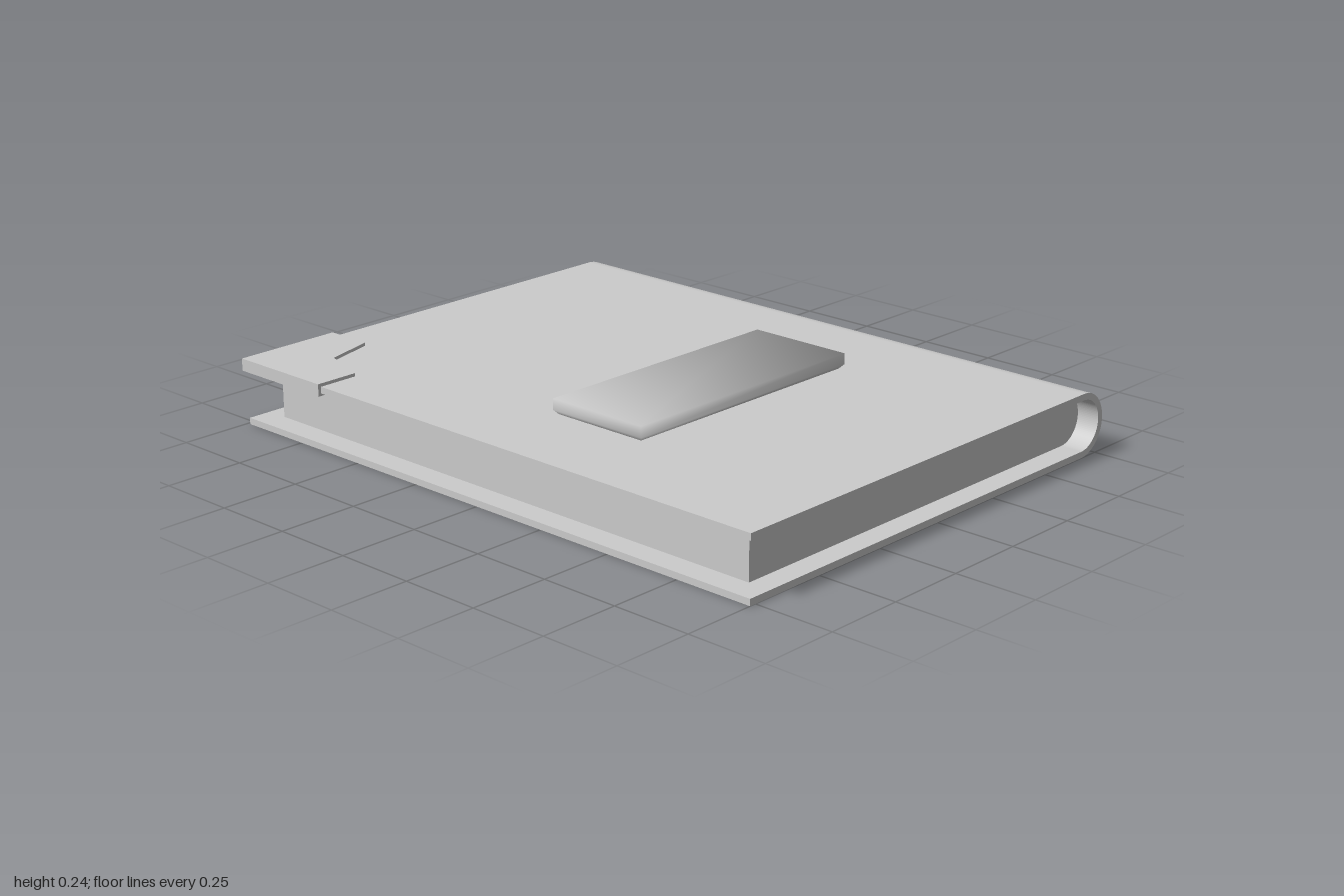
import * as THREE from 'three';
import { mergeVertices } from 'three/addons/utils/BufferGeometryUtils.js';

const material = new THREE.MeshStandardMaterial({ color: 0xcccccc });
const MID = 0.0985;    // half the closed height
const SPINE_X = 0.68;  // centre of the rounded spine

function part(name, geometry) {
  const mesh = new THREE.Mesh(geometry, material);
  mesh.name = name;
  return mesh;
}

// Extrude an x-y outline along z from z0 to z1
function prism(shape, z0, z1) {
  const g = new THREE.ExtrudeGeometry(shape, { depth: z1 - z0, bevelEnabled: false, curveSegments: 24 });
  return g.translate(0, 0, z0);
}

// Boards and spine: one U-shaped section
function coverShape(thickness) {
  const s = new THREE.Shape();
  s.moveTo(-0.77, 0);
  s.lineTo(SPINE_X, 0);
  s.absarc(SPINE_X, MID, MID, -Math.PI / 2, Math.PI / 2, false);
  s.lineTo(-0.77, 2 * MID);
  s.lineTo(-0.77, 2 * MID - thickness);
  s.lineTo(SPINE_X, 2 * MID - thickness);
  s.absarc(SPINE_X, MID, MID - thickness, Math.PI / 2, -Math.PI / 2, true);
  s.lineTo(-0.77, thickness);
  s.closePath();
  return s;
}

// Page block: flat fore-edge, rounded at the spine
function pagesShape(r) {
  const s = new THREE.Shape();
  s.moveTo(-0.695, MID - r);
  s.lineTo(SPINE_X, MID - r);
  s.absarc(SPINE_X, MID, r, -Math.PI / 2, Math.PI / 2, false);
  s.lineTo(-0.695, MID + r);
  s.closePath();
  return s;
}

// Soft-shaded label block whose underside tapers into the cover
function labelGeometry() {
  let g = new THREE.BoxGeometry(0.87, 0.05, 0.34, 1, 2, 1);
  g.deleteAttribute('uv');
  g.deleteAttribute('normal');
  g = mergeVertices(g);
  const p = g.attributes.position;
  const normals = [];
  for (let i = 0; i < p.count; i++) {
    const x = p.getX(i), y = p.getY(i), z = p.getZ(i);
    const level = Math.sign(Math.round(y * 1000));
    const inset = level < 0 ? 0.015 : 0;
    const n = new THREE.Vector3(Math.sign(x), level, Math.sign(z)).normalize();
    normals.push(n.x, n.y, n.z);
    p.setXYZ(i, x - Math.sign(x) * inset, [0.193, 0.21, 0.244][level + 1], z - Math.sign(z) * inset);
  }
  g.setAttribute('normal', new THREE.Float32BufferAttribute(normals, 3));
  return g.translate(-0.045, 0, 0.18);
}

// Corner guard: notched plan outline wrapped around the upper board
function cornerGeometry() {
  const outline = [[-0.78, -1], [-0.43, -1], [-0.43, -0.85], [-0.59, -0.805], [-0.64, -0.65], [-0.78, -0.65]];
  const s = new THREE.Shape(outline.map(([x, z]) => new THREE.Vector2(x, -z)));
  const g = new THREE.ExtrudeGeometry(s, { depth: 0.038, bevelEnabled: false });
  return g.rotateX(-Math.PI / 2).translate(0, 0.169, 0);
}

export function createModel() {
  const book = new THREE.Group();
  book.name = 'book';
  book.add(
    part('cover', prism(coverShape(0.02), -0.99, 1)),
    part('pages', prism(pagesShape(0.078), -0.92, 0.93)),
    part('label', labelGeometry()),
    part('cornerGuard', cornerGeometry()),
  );
  return book;
}
